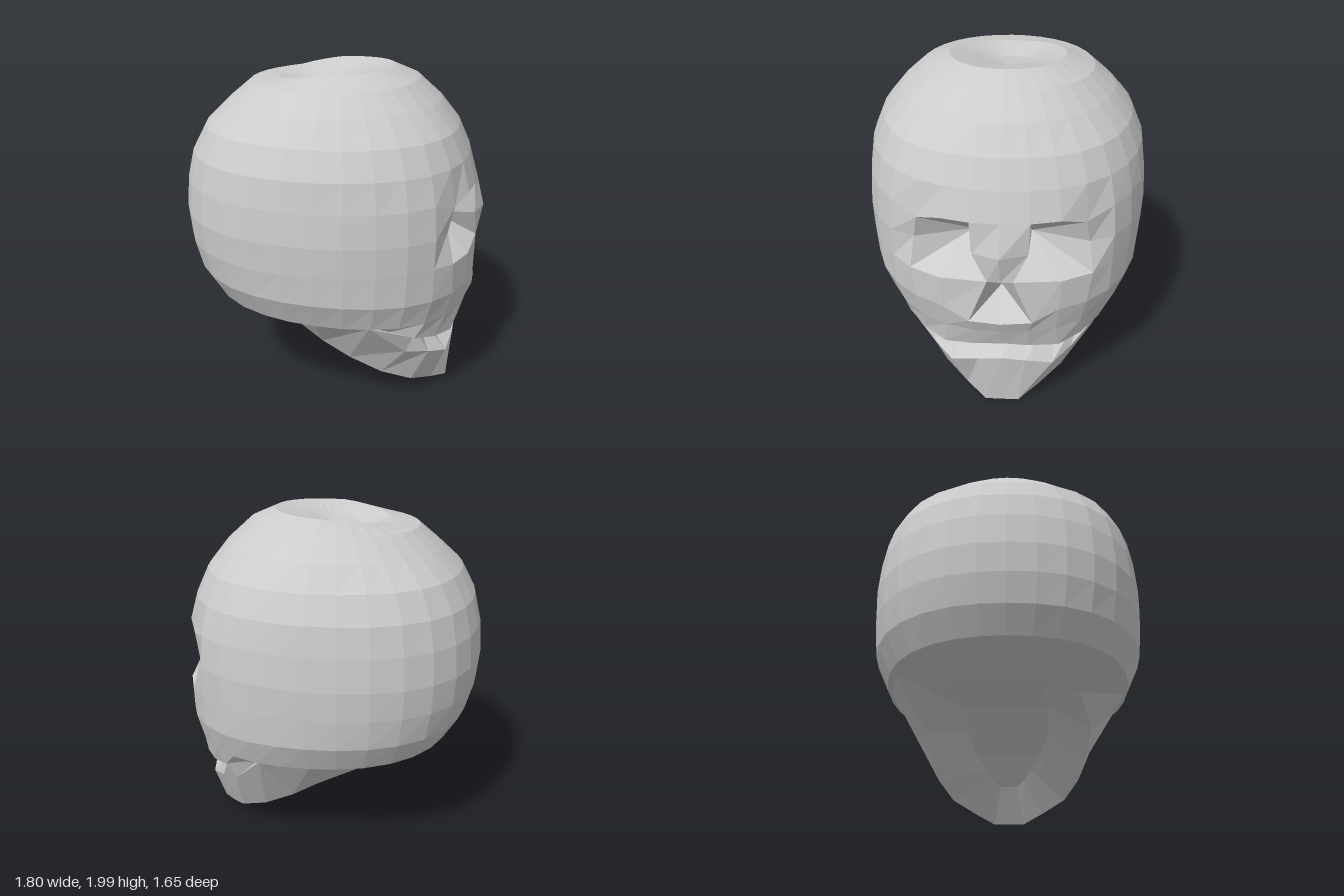
import * as THREE from 'three';

const SEG = 32;

// Flat-shaded mesh from a list of convex polygons (corners counter-clockwise from outside)
function polyMesh(name, polys) {
  const pos = [];
  for (const p of polys)
    for (let k = 1; k + 1 < p.length; k++) pos.push(...p[0], ...p[k], ...p[k + 1]);
  const geo = new THREE.BufferGeometry();
  geo.setAttribute('position', new THREE.Float32BufferAttribute(pos, 3));
  geo.computeVertexNormals();
  const mat = new THREE.MeshStandardMaterial({ color: 0xcccccc, flatShading: true, side: THREE.DoubleSide });
  const mesh = new THREE.Mesh(geo, mat);
  mesh.name = name;
  return mesh;
}

// Rings from crown to base: radius and height at front, side and back
const RINGS = [
  { r: [0, 0, 0], y: [1.89, 1.89, 1.89] },
  { r: [0.165, 0.165, 0.165], y: [1.95, 1.92, 1.88] },
  { r: [0.34, 0.35, 0.33], y: [1.99, 1.975, 1.92] },
  { r: [0.49, 0.52, 0.49], y: [1.925, 1.91, 1.9] },
  { r: [0.62, 0.65, 0.62], y: [1.81, 1.8, 1.79] },
  { r: [0.73, 0.76, 0.74], y: [1.67, 1.67, 1.67] },
  { r: [0.8, 0.83, 0.82], y: [1.52, 1.52, 1.52] },
  { r: [0.85, 0.855, 0.86], y: [1.355, 1.355, 1.355] },
  { r: [0.87, 0.87, 0.875], y: [1.17, 1.17, 1.17] },
  { r: [0.87, 0.865, 0.86], y: [1.0, 1.0, 1.0] },
  { r: [0.87, 0.85, 0.815], y: [0.79, 0.82, 0.835] },
  { r: [0.84, 0.77, 0.73], y: [0.63, 0.655, 0.69] },
  { r: [0.78, 0.55, 0.45], y: [0.5, 0.59, 0.57] },
];

// Face points moved off the rings, keyed "ring,column"; mirrored across z
const FACE = {
  '8,0': [0.9, 1.17, 0],
  '7,3': [0.73, 1.31, 0.45],
  '8,1': [0.85, 1.17, 0.15],
  '8,3': [0.7, 1.17, 0.475],
  '9,1': [0.865, 1.0, 0.07],
  '9,2': [0.82, 0.985, 0.33],
  '9,3': [0.74, 0.99, 0.5],
  '10,0': [0.87, 0.71, 0],
  '10,1': [0.86, 0.72, 0.175],
  '12,0': [0.8, 0.51, 0],
  '12,1': [0.79, 0.495, 0.16],
  '12,2': [0.75, 0.475, 0.33],
  '12,3': [0.66, 0.495, 0.46],
  '12,4': [0.55, 0.53, 0.565],
  '12,5': [0.41, 0.58, 0.6],
};

function ringPoint(i, j) {
  const col = ((j + SEG / 2 + SEG) % SEG) - SEG / 2;
  const f = FACE[`${i},${Math.abs(col)}`];
  if (f) return [f[0], f[1], f[2] * Math.sign(col)];
  const a = (col / SEG) * Math.PI * 2, c = Math.cos(a), w = Math.pow(Math.abs(c), 1.2);
  const mix = ([front, side, back]) => side + ((c > 0 ? front : back) - side) * w;
  // the lower rings are slightly squared in plan
  const r = mix(RINGS[i].r) * (1 + (i > 4 ? 0.045 : 0.01) * Math.sin(2 * a) ** 2);
  return [r * c * (c < 0 ? 1.03 : 1), mix(RINGS[i].y), r * Math.sin(a) * 0.95];
}

const fan = (rim, tip) => rim.map((p, k) => [p, rim[(k + 1) % rim.length], tip]);

// Rim around a block of grid cells two columns wide
function blockRim(top, bottom, j) {
  const rim = [[top, j], [top, j + 1], [top, j + 2]];
  for (let i = top + 1; i < bottom; i++) rim.push([i, j + 2]);
  rim.push([bottom, j + 2], [bottom, j + 1], [bottom, j]);
  for (let i = bottom - 1; i > top; i--) rim.push([i, j]);
  return rim.map(([i, k]) => ringPoint(i, k));
}

function buildCranium() {
  const polys = [];
  // openings: [top ring, bottom ring, first column]
  const holes = [[7, 9, 1], [7, 9, -3], [9, 10, -1]];
  for (let i = 0; i < RINGS.length - 1; i++)
    for (let j = -SEG / 2; j < SEG / 2; j++) {
      if (holes.some(([t, b, c]) => i >= t && i < b && j >= c && j < c + 2)) continue;
      polys.push([ringPoint(i, j), ringPoint(i, j + 1), ringPoint(i + 1, j + 1), ringPoint(i + 1, j)]);
    }
  // base of the skull
  const last = RINGS.length - 1;
  const base = Array.from({ length: SEG }, (_, j) => ringPoint(last, j));
  polys.push(...fan(base, [0, 0.61, 0]));
  return polyMesh('cranium', polys);
}

// Jaw sections from rear to chin on the +z side: inner top, rim, lower edge, hollow
const JAW = [
  [[-0.3, 0.66, 0.62], [-0.3, 0.66, 0.65], [-0.26, 0.56, 0.42], [-0.3, 0.6, 0.2]],
  [[0, 0.65, 0.68], [0, 0.645, 0.71], [0, 0.42, 0.5], [0, 0.56, 0.25]],
  [[0.31, 0.645, 0.68], [0.3, 0.64, 0.69], [0.16, 0.31, 0.48], [0.2, 0.47, 0.25]],
  [[0.54, 0.535, 0.565], [0.5, 0.42, 0.535], [0.35, 0.2, 0.44], [0.38, 0.37, 0.2]],
  [[0.54, 0.535, 0.46], [0.63, 0.355, 0.41], [0.53, 0.115, 0.36], [0.48, 0.3, 0.14]],
  [[0.54, 0.535, 0.3], [0.73, 0.31, 0.3], [0.65, 0.05, 0.22], [0.55, 0.25, 0.1]],
  [[0.54, 0.535, 0.13], [0.765, 0.35, 0.14], [0.74, 0, 0.1], [0.6, 0.22, 0.05]],
];

function buildJaw() {
  const left = JAW.map((s) => [...s, [s[3][0], s[3][1], 0]]);
  const right = left.map((s) => s.map(([x, y, z]) => [x, y, -z]));
  const chin = [[0.54, 0.535, 0], [0.775, 0.37, 0], [0.74, 0, 0], [0.6, 0.22, 0], [0.6, 0.22, 0]];
  const sections = [...right, chin, ...left.reverse()];
  const polys = [];
  for (let j = 0; j < sections.length - 1; j++)
    for (let i = 0; i < 4; i++) {
      const a = sections[j], b = sections[j + 1];
      polys.push([a[i], b[i], b[i + 1], a[i + 1]]);
    }
  return polyMesh('lowerJaw', polys);
}

export function createModel() {
  const skull = new THREE.Group();
  skull.name = 'skull';
  skull.add(buildCranium(), buildJaw());
  // eye sockets and nose cavity sink to a single inner point
  skull.add(polyMesh('rightEyeSocket', fan(blockRim(7, 9, -3), [0.6, 1.165, -0.16])));
  skull.add(polyMesh('leftEyeSocket', fan(blockRim(7, 9, 1), [0.6, 1.165, 0.16])));
  skull.add(polyMesh('noseCavity', fan(blockRim(9, 10, -1), [0.68, 0.85, 0])));
  return skull;
}
